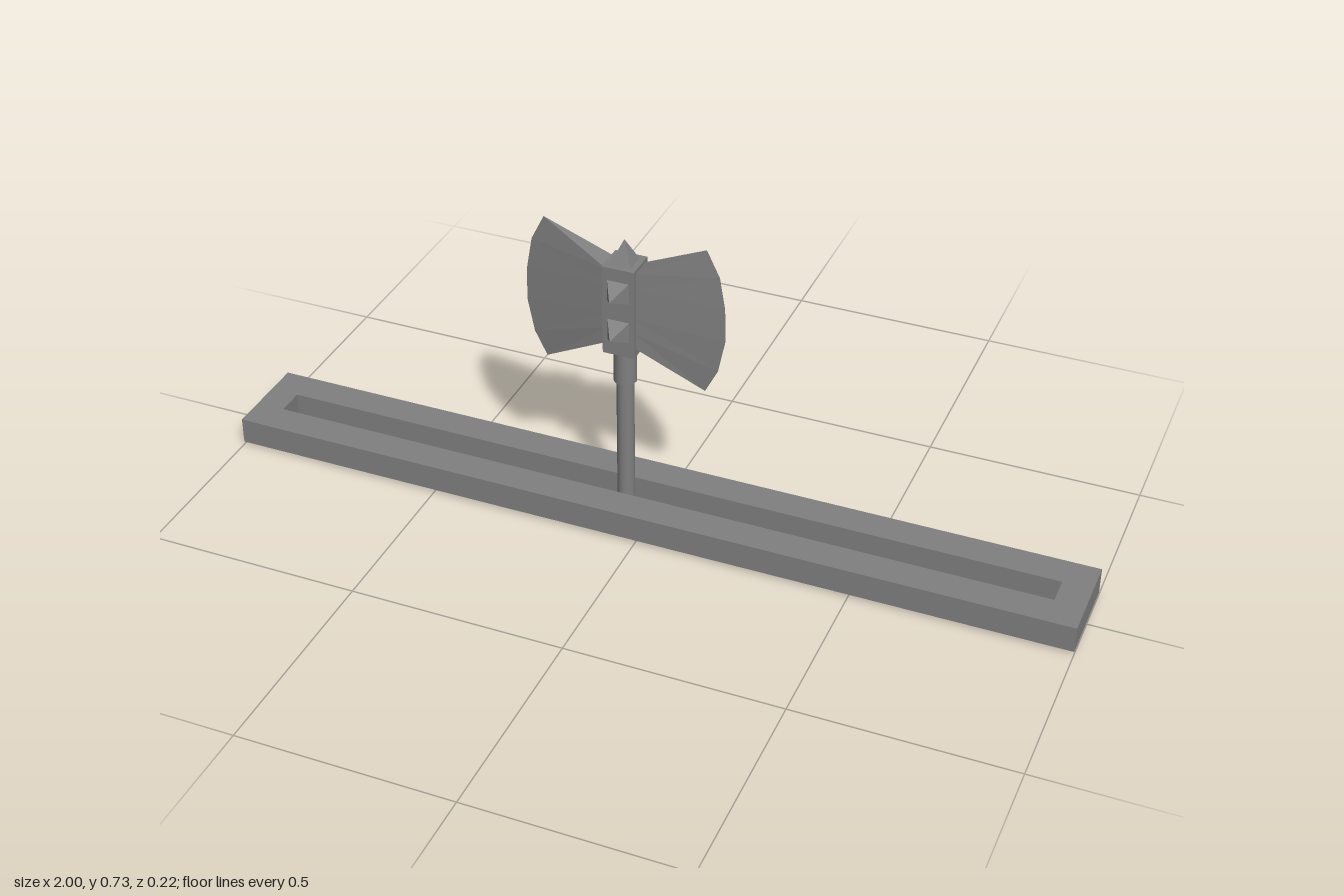
import * as THREE from 'three';

export function createModel() {
  const model = new THREE.Group();
  const steel = new THREE.MeshStandardMaterial({ color: 0x808080 });
  steel.name = 'grey steel';

  const add = (parent, name, geometry, x = 0, y = 0, z = 0) => {
    const mesh = new THREE.Mesh(geometry, steel);
    mesh.name = name;
    mesh.position.set(x, y, z);
    parent.add(mesh);
    return mesh;
  };

  // Long slotted base frame
  const rect = (target, w, h) => {
    target.moveTo(-w, -h);
    target.lineTo(w, -h);
    target.lineTo(w, h);
    target.lineTo(-w, h);
    target.closePath();
    return target;
  };
  const outline = rect(new THREE.Shape(), 1, 0.108);
  outline.holes.push(rect(new THREE.Path(), 0.932, 0.033));
  const frame = new THREE.ExtrudeGeometry(outline, { depth: 0.063, bevelEnabled: false });
  frame.rotateX(-Math.PI / 2);
  add(model, 'baseFrame', frame, 0, 0.007, 0);

  // Axe shaft and head block
  const axe = new THREE.Group();
  axe.name = 'axe';
  axe.position.x = -0.066;
  model.add(axe);
  add(axe, 'handle', new THREE.CylinderGeometry(0.02, 0.02, 0.37, 24), 0, 0.185, 0);
  add(axe, 'collar', new THREE.CylinderGeometry(0.026, 0.026, 0.09, 24), 0, 0.401, 0);
  add(axe, 'headBlock', new THREE.BoxGeometry(0.074, 0.216, 0.074), 0, 0.548, 0);

  // Square pyramid spikes, base at the origin and point up
  const spike = (height) => {
    const g = new THREE.ConeGeometry(0.025 * Math.SQRT2, height, 4, 1).toNonIndexed();
    g.rotateY(Math.PI / 4);
    g.translate(0, height / 2, 0);
    g.computeVertexNormals();
    return g;
  };
  add(axe, 'topSpike', spike(0.056), 0, 0.655, 0);
  for (const side of [1, -1]) {
    for (const y of [0.503, 0.6]) {
      add(axe, 'sideSpike', spike(0.047), 0, y, side * 0.037).rotation.x = side * Math.PI / 2;
    }
  }

  // Wedge blade: thick at the block, tapering to a curved edge
  const edge = [[0.187, 0.726], [0.217, 0.665], [0.23, 0.59], [0.232, 0.51], [0.216, 0.43], [0.187, 0.373]];
  const inner = (i, z) => [0.03, 0.645 - 0.183 * i / (edge.length - 1), z];
  const tip = (i) => [...edge[i], 0];
  const t = 0.027;
  const last = edge.length - 1;
  const points = [];
  const tri = (a, b, c) => points.push(...a, ...b, ...c);
  for (let i = 0; i < last; i++) {
    tri(inner(i, t), inner(i + 1, t), tip(i + 1));
    tri(inner(i, t), tip(i + 1), tip(i));
    tri(inner(i, -t), tip(i + 1), inner(i + 1, -t));
    tri(inner(i, -t), tip(i), tip(i + 1));
  }
  tri(inner(0, t), tip(0), inner(0, -t));
  tri(inner(last, t), inner(last, -t), tip(last));
  const blade = new THREE.BufferGeometry();
  blade.setAttribute('position', new THREE.Float32BufferAttribute(points, 3));
  blade.computeVertexNormals();
  add(axe, 'leftBlade', blade);
  add(axe, 'rightBlade', blade).rotation.y = Math.PI;

  return model;
}
